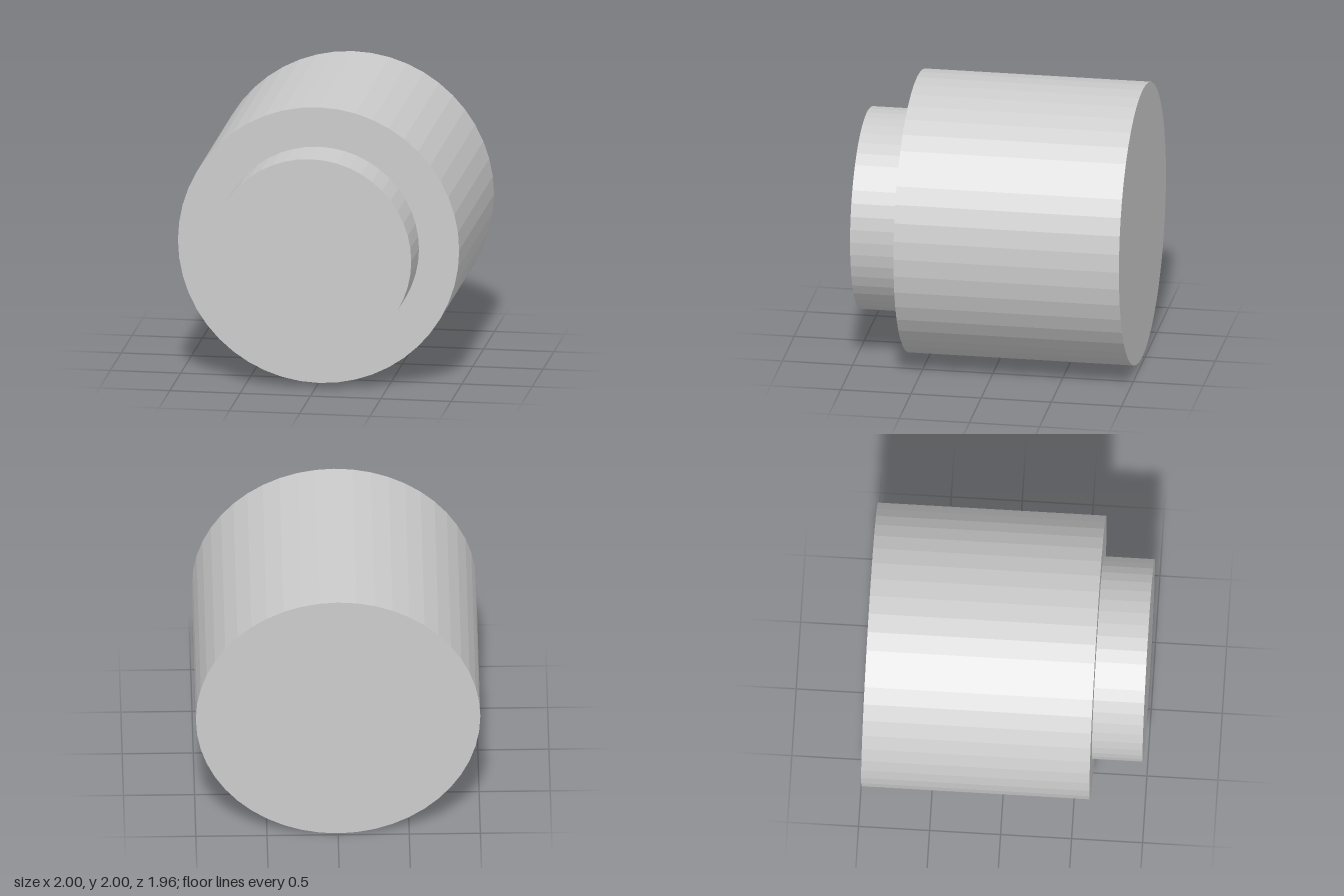
import * as THREE from 'three';

const SIDES = 48;
const AXIS_Y = 1; // height of the shared axis

const material = new THREE.MeshStandardMaterial({ color: 0xcccccc, flatShading: true });

// Faceted cylinder lying along z, from zBack to zFront
function drum(name, radius, zBack, zFront) {
  const geometry = new THREE.CylinderGeometry(radius, radius, zFront - zBack, SIDES);
  geometry.rotateX(Math.PI / 2);
  const mesh = new THREE.Mesh(geometry, material);
  mesh.name = name;
  mesh.position.set(0, AXIS_Y, (zBack + zFront) / 2);
  return mesh;
}

export function createModel() {
  const group = new THREE.Group();
  group.name = 'steppedCylinder';
  group.add(
    drum('body', 1, -0.982, 0.625),        // wide rear drum
    drum('frontBoss', 0.714, 0.625, 0.982) // narrower front step
  );
  return group;
}
